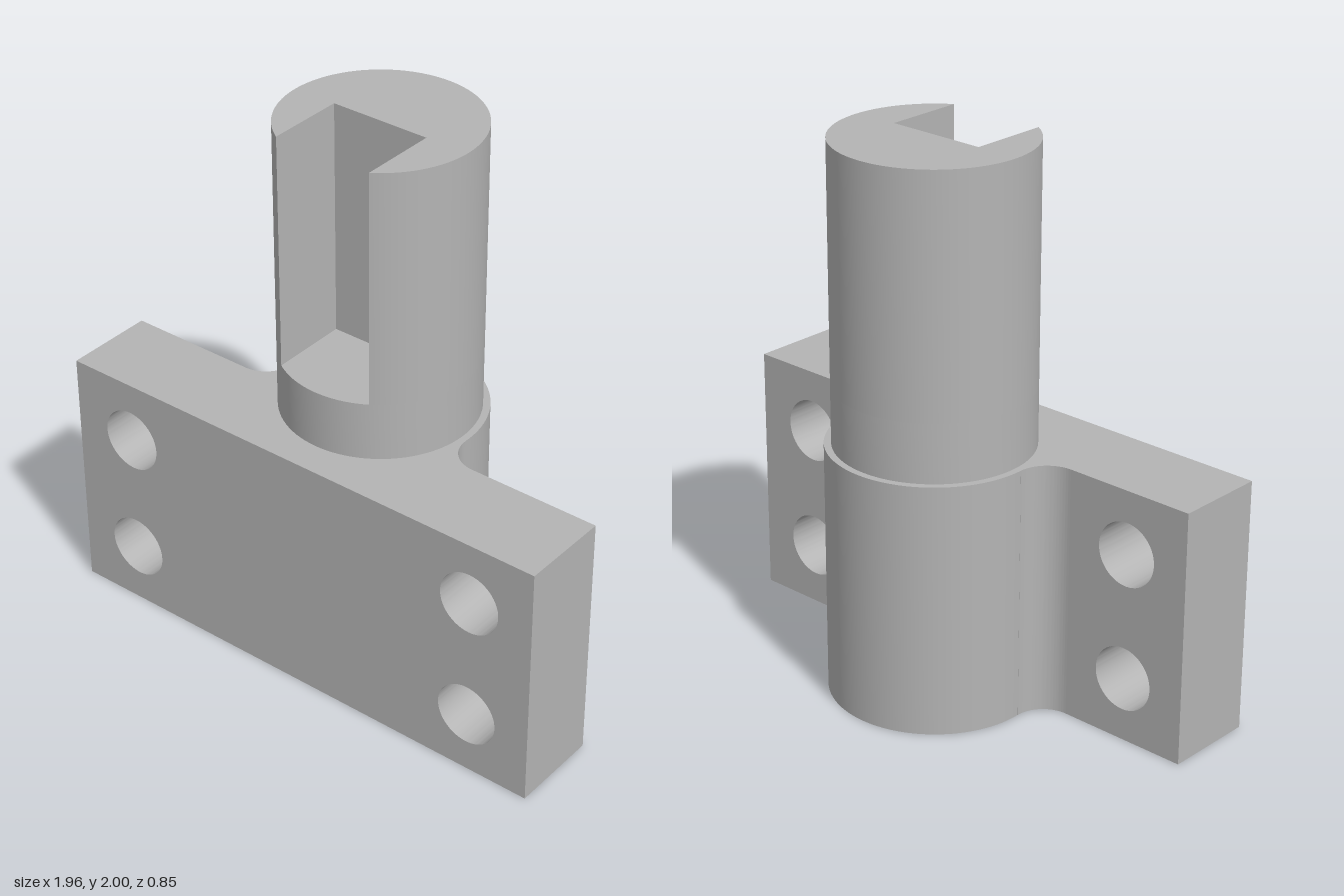
import * as THREE from 'three';
import { toCreasedNormals } from 'three/addons/utils/BufferGeometryUtils.js';

const PLATE = { halfWidth: 0.98, height: 0.925, back: 0.085, front: 0.42 };
const AXIS = 0.05;            // shaft axis lies at z = -AXIS
const SHAFT_R = 0.35, BOSS_R = 0.375;
const SLOT_HALF = 0.187, SLOT_FLOOR = 1.14, TOP = 2;

export function createModel() {
  const steel = new THREE.MeshStandardMaterial({ color: 0xb4b4b4 });
  steel.name = 'plain grey';
  const model = new THREE.Group();
  model.name = 'shaftBracket';

  const extrude = (shape, depth) =>
    new THREE.ExtrudeGeometry(shape, { depth, bevelEnabled: false, curveSegments: 48 });
  const add = (name, geometry) => {
    const mesh = new THREE.Mesh(toCreasedNormals(geometry, 0.5), steel);
    mesh.name = name;
    model.add(mesh);
  };
  // Upright prism: shape coordinates are (x, -z)
  const upright = (name, shape, y0, y1) =>
    add(name, extrude(shape, y1 - y0).rotateX(-Math.PI / 2).translate(0, y0, 0));

  // Mounting plate with four through holes
  const w = PLATE.halfWidth;
  const plate = new THREE.Shape([
    new THREE.Vector2(-w, 0), new THREE.Vector2(w, 0),
    new THREE.Vector2(w, PLATE.height), new THREE.Vector2(-w, PLATE.height),
  ]);
  for (const x of [-0.733, 0.733]) {
    for (const y of [0.231, 0.694]) {
      plate.holes.push(new THREE.Path().absarc(x, y, 0.116, 0, Math.PI * 2, true));
    }
  }
  add('mountingPlate', extrude(plate, PLATE.front - PLATE.back).translate(0, 0, PLATE.back));

  // Round boss blended into the plate by concave fillets
  const filletX = 0.49, filletR = 0.115, filletY = filletR - PLATE.back;
  const tilt = Math.atan2(AXIS - filletY, filletX);
  const boss = new THREE.Shape();
  boss.moveTo(-filletX, -PLATE.back);
  boss.lineTo(filletX, -PLATE.back);
  boss.absarc(filletX, filletY, filletR, -Math.PI / 2, -Math.PI - tilt, true);
  boss.absarc(0, AXIS, BOSS_R, -tilt, Math.PI + tilt, false);
  boss.absarc(-filletX, filletY, filletR, tilt, -Math.PI / 2, true);
  upright('boss', boss, 0, PLATE.height);

  // Shaft: full round base, then the length cut by the keyway
  const round = new THREE.Shape().absarc(0, AXIS, SHAFT_R, 0, Math.PI * 2, false);
  upright('shaftBase', round, PLATE.height, SLOT_FLOOR);

  const half = Math.asin(SLOT_HALF / SHAFT_R);
  const slotBack = 0.043;
  const slotted = new THREE.Shape();
  slotted.moveTo(-SLOT_HALF, slotBack);
  slotted.lineTo(SLOT_HALF, slotBack);
  slotted.absarc(0, AXIS, SHAFT_R, -Math.PI / 2 + half, Math.PI * 1.5 - half, false);
  slotted.closePath();
  upright('slottedShaft', slotted, SLOT_FLOOR, TOP);

  return model;
}
